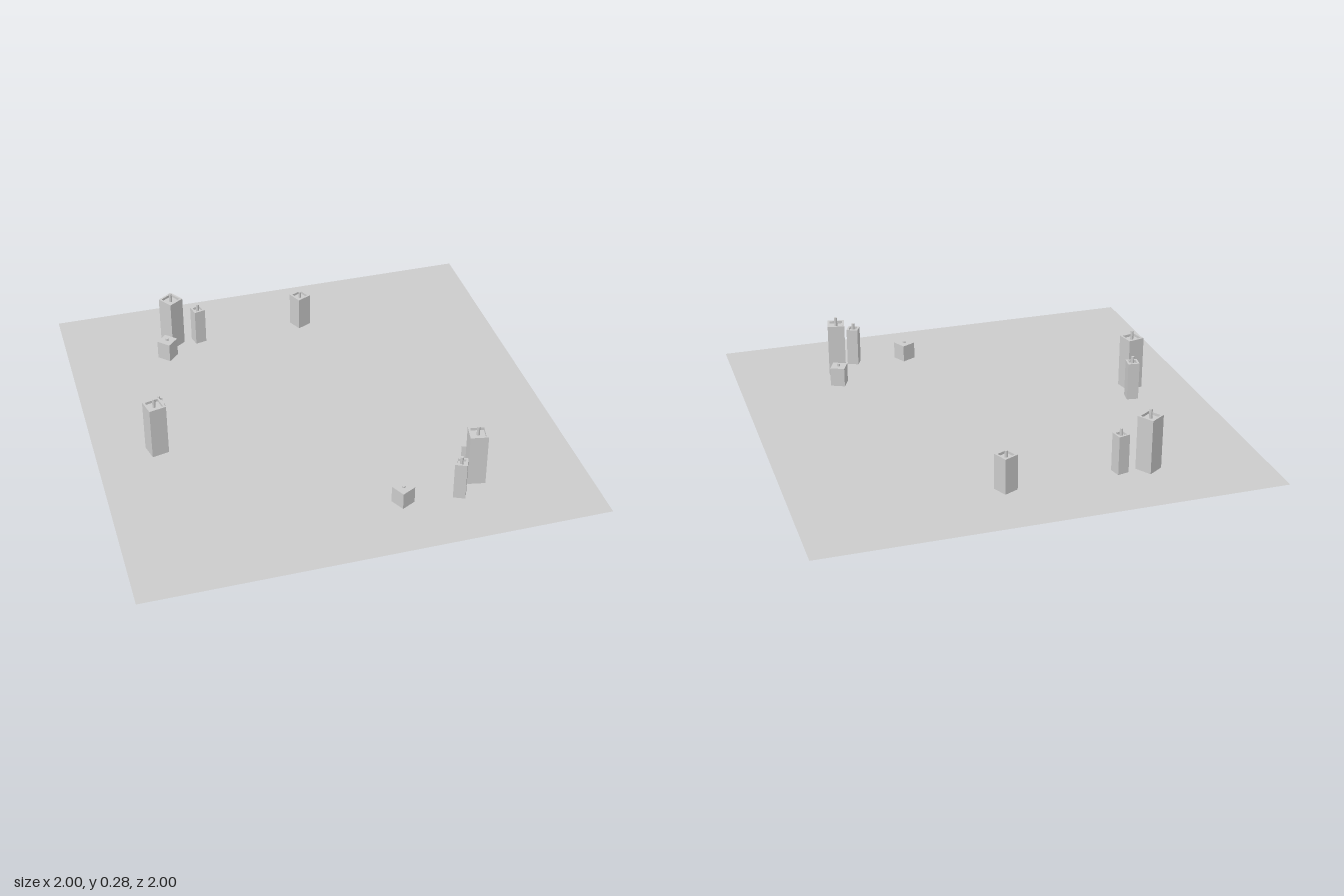
import * as THREE from 'three';

const grey = new THREE.MeshStandardMaterial({ color: 0xcccccc, flatShading: true });

function square(PathType, s) {
  const h = s / 2, p = new PathType();
  p.moveTo(-h, -h);
  p.lineTo(h, -h);
  p.lineTo(h, h);
  p.lineTo(-h, h);
  p.closePath();
  return p;
}

function part(name, geometry, y) {
  const mesh = new THREE.Mesh(geometry, grey);
  mesh.name = name;
  mesh.position.y = y;
  return mesh;
}

// Square tower: body, optional parapet around a sunken roof, and a mast
function makeTower({ name, size, height, mast, wall }) {
  const tower = new THREE.Group();
  tower.name = name;
  const sink = wall ? 0.012 : 0;
  const roof = height - sink;
  tower.add(part('towerBody', new THREE.BoxGeometry(size, roof, size), roof / 2));
  if (wall) {
    const ring = square(THREE.Shape, size);
    ring.holes.push(square(THREE.Path, size - 2 * wall));
    const geo = new THREE.ExtrudeGeometry(ring, { depth: sink, bevelEnabled: false });
    geo.rotateX(-Math.PI / 2);
    tower.add(part('parapet', geo, roof));
  }
  const length = mast - roof;
  tower.add(part('mast', new THREE.CylinderGeometry(0.007, 0.007, length, 12), roof + length / 2));
  return tower;
}

const types = {
  tall: { name: 'tallTower', size: 0.077, height: 0.245, mast: 0.275, wall: 0.009 },
  slim: { name: 'slimTower', size: 0.052, height: 0.175, mast: 0.2, wall: 0.009 },
  medium: { name: 'mediumTower', size: 0.068, height: 0.16, mast: 0.178, wall: 0.009 },
  low: { name: 'lowBlock', size: 0.066, height: 0.088, mast: 0.1 },
  lowest: { name: 'lowestBlock', size: 0.068, height: 0.078, mast: 0.085 },
};

// type, x, z, turn in degrees
const layout = [
  ['tall', -0.5, -0.695, 33],
  ['slim', -0.377, -0.684, 13],
  ['low', -0.545, -0.594, 45],
  ['medium', 0.123, -0.69, 25],
  ['slim', -0.693, -0.03, -8],
  ['tall', -0.733, 0.085, 13],
  ['low', 0.547, 0.51, -25],
  ['tall', 0.526, 0.64, -11],
  ['slim', 0.427, 0.723, -25],
  ['lowest', 0.184, 0.703, 27],
];

export function createModel() {
  const model = new THREE.Group();
  model.name = 'cityBlocks';

  // Ground sheet, visible from both sides
  const sheet = grey.clone();
  sheet.side = THREE.DoubleSide;
  const ground = new THREE.Mesh(new THREE.PlaneGeometry(2, 2).rotateX(-Math.PI / 2), sheet);
  ground.name = 'ground';
  model.add(ground);

  for (const [type, x, z, turn] of layout) {
    const tower = makeTower(types[type]);
    tower.position.set(x, 0, z);
    tower.rotation.y = THREE.MathUtils.degToRad(turn);
    model.add(tower);
  }
  return model;
}
